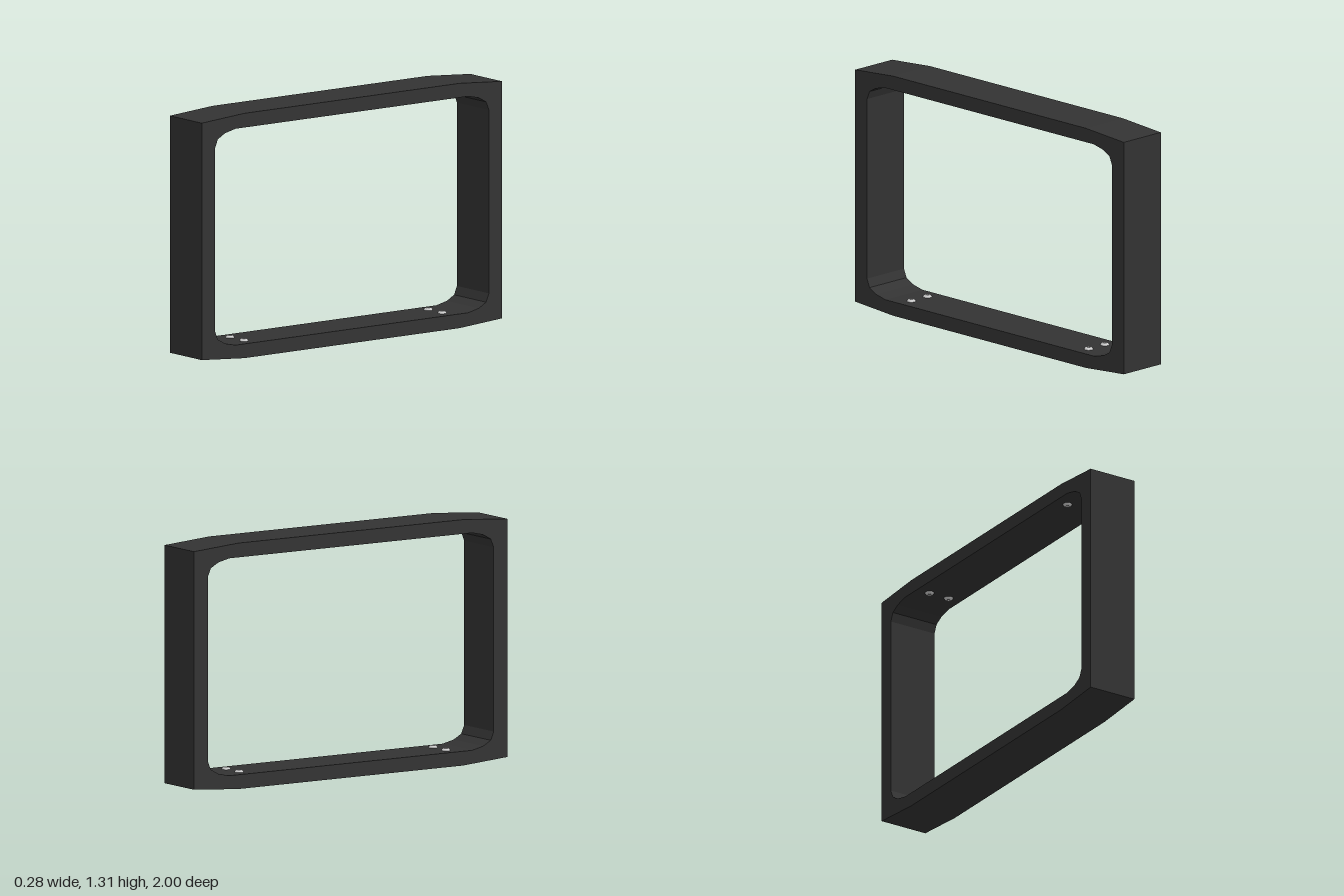
import * as THREE from 'three';

const H = 1.31, DEPTH = 0.275;
const INNER_BOTTOM = 0.076;

// Mirrors one upper corner (z, height above the middle) into a closed loop
function mirrorLoop(corner) {
  const back = [...corner].reverse();
  return [
    ...corner,
    ...back.map(([z, y]) => [-z, y]),
    ...corner.map(([z, y]) => [-z, -y]),
    ...back.map(([z, y]) => [z, -y]),
  ].map(([z, y]) => new THREE.Vector2(z, y + H / 2));
}

export function createModel() {
  const model = new THREE.Group();
  const frameMat = new THREE.MeshStandardMaterial({ color: 0x333333, flatShading: true });
  const screwMat = new THREE.MeshStandardMaterial({ color: 0xcccccc });

  // Rectangular frame with tapered outer ends and rounded inner corners
  const top = H / 2, inner = H / 2 - INNER_BOTTOM;
  const shape = new THREE.Shape(mirrorLoop([[1, top - 0.021], [0.717, top]]));
  shape.holes.push(new THREE.Path(mirrorLoop([
    [0.912, inner - 0.088], [0.893, inner - 0.043], [0.845, inner - 0.016], [0.775, inner],
  ])));
  const frameGeo = new THREE.ExtrudeGeometry(shape, { depth: DEPTH, bevelEnabled: false });
  frameGeo.translate(0, 0, -DEPTH / 2).rotateY(Math.PI / 2);
  const frame = new THREE.Mesh(frameGeo, frameMat);
  frame.name = 'frame';
  model.add(frame);

  // Domed screw heads with a small socket, in pairs near each inner corner
  const profile = [[0, 0.005], [0.009, 0.005], [0.009, 0.013], [0.016, 0.011], [0.022, 0.006], [0.025, -0.002]]
    .reverse().map(([r, y]) => new THREE.Vector2(r, y));
  const screwGeo = new THREE.LatheGeometry(profile, 16);
  for (const upper of [false, true])
    for (const z of [-0.66, 0.66])
      for (const x of [-0.06, 0.06]) {
        const screw = new THREE.Mesh(screwGeo, screwMat);
        screw.name = upper ? 'upperScrew' : 'lowerScrew';
        screw.position.set(x, upper ? H - INNER_BOTTOM : INNER_BOTTOM, z);
        if (upper) screw.rotation.x = Math.PI;
        model.add(screw);
      }
  return model;
}
